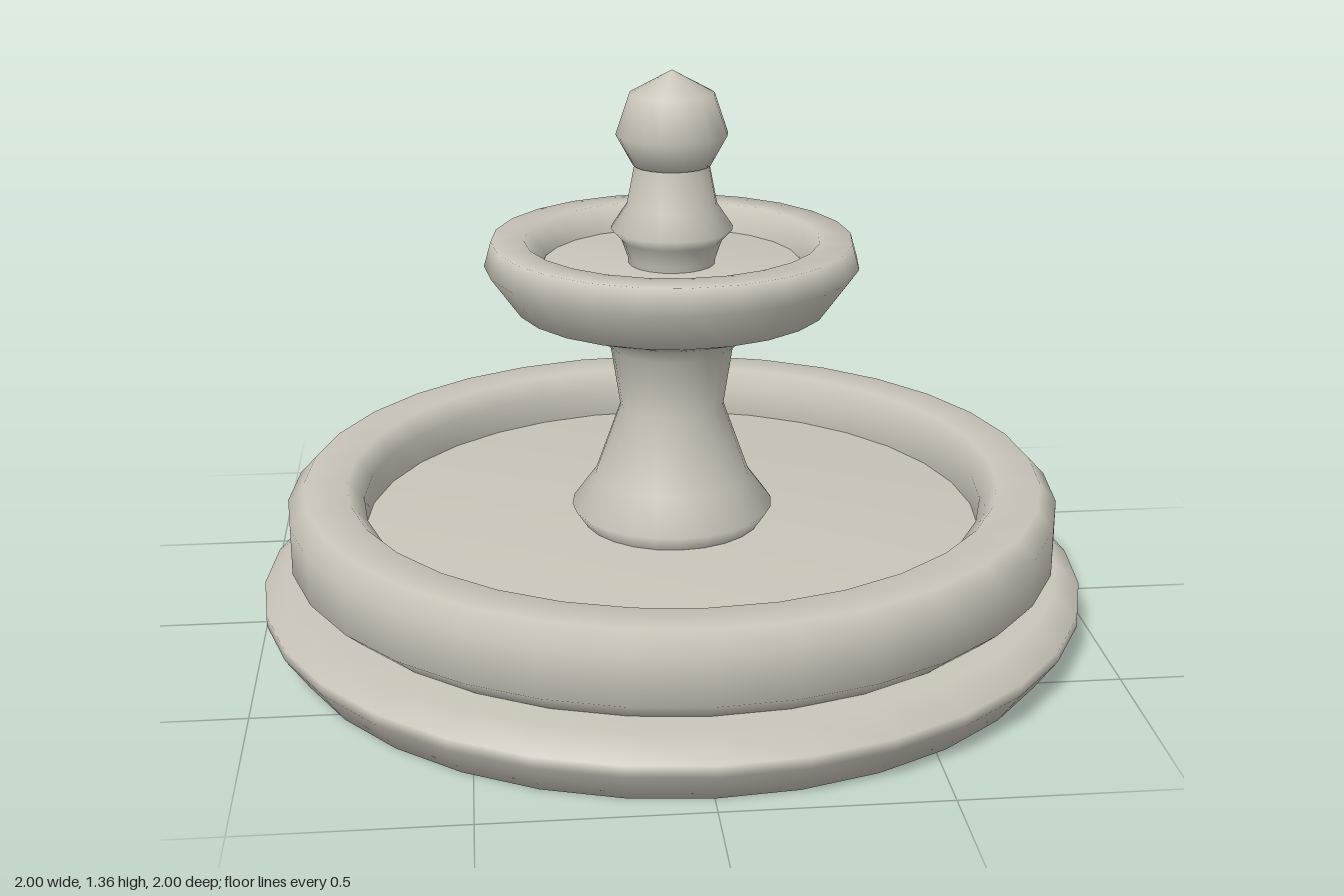
import * as THREE from 'three';

const stone = new THREE.MeshStandardMaterial({ color: 0xc8c4b8 });
stone.name = 'paleStone';

// Smooth turned part; the profile lists [radius, height] from bottom to top
function turned(name, profile, sides) {
  const points = profile.map(([r, y]) => new THREE.Vector2(r, y));
  const mesh = new THREE.Mesh(new THREE.LatheGeometry(points, sides), stone);
  mesh.name = name;
  return mesh;
}

export function createModel() {
  const fountain = new THREE.Group();
  fountain.name = 'fountain';

  // Ground plinth and the large ring-shaped basin wall
  fountain.add(turned('plinth',
    [[0, 0], [0.945, 0], [1, 0.08], [1, 0.107], [0.94, 0.155], [0, 0.155]], 32));
  fountain.add(turned('basinWall',
    [[0.79, 0.155], [0.877, 0.155], [0.933, 0.205], [0.933, 0.32], [0.893, 0.363],
      [0.79, 0.363], [0.75, 0.32], [0.75, 0.205], [0.79, 0.155]], 32));
  fountain.add(turned('basinFloor', [[0.77, 0.16], [0.77, 0.245], [0, 0.245]], 32));

  // Waisted column
  fountain.add(turned('column',
    [[0.2, 0.2], [0.218, 0.245], [0.245, 0.285], [0.188, 0.363], [0.125, 0.54],
      [0.148, 0.69], [0.2, 0.738]], 24));

  // Upper bowl with a rolled rim
  fountain.add(turned('upperBowl',
    [[0, 0.735], [0.2, 0.735], [0.375, 0.797], [0.445, 0.895], [0.428, 0.955],
      [0.35, 0.955], [0.305, 0.9], [0.32, 0.85]], 24));
  fountain.add(turned('upperBowlFloor', [[0.32, 0.84], [0.32, 0.895], [0, 0.895]], 24));

  // Finial: neck and ball
  fountain.add(turned('finialNeck',
    [[0.1, 0.87], [0.105, 0.91], [0.12, 0.953], [0.145, 0.98], [0.107, 1.037],
      [0.088, 1.135]], 20));
  fountain.add(turned('finialBall',
    [[0, 1.132], [0.092, 1.132], [0.132, 1.205], [0.1, 1.3], [0, 1.355]], 20));

  return fountain;
}
